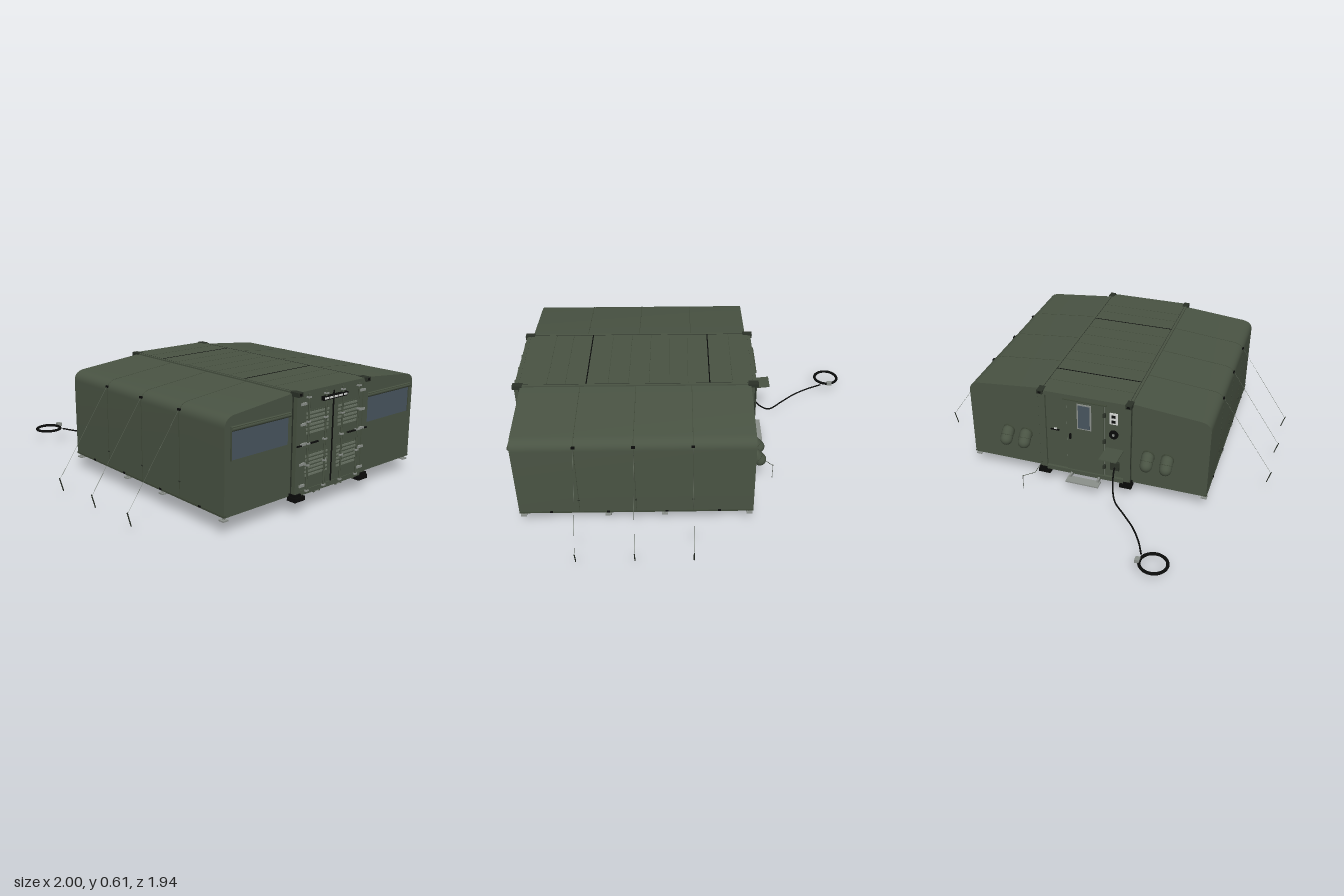
import * as THREE from 'three';
import { toCreasedNormals } from 'three/addons/utils/BufferGeometryUtils.js';

const mat = (name, color) => Object.assign(new THREE.MeshStandardMaterial({ color }), { name });

export function createModel() {
  const model = new THREE.Group();
  model.name = 'expandableShelter';
  const green = mat('olive green', 0x495343);
  const pale = mat('pale olive', 0x6c7567);
  const seam = mat('seam olive', 0x404939);
  const shade = mat('dark olive', 0x2b3128);
  const black = mat('black', 0x0a0b0a);
  const grey = mat('metal grey', 0x8b908b);
  const blue = mat('window blue', 0x48555f);
  const white = mat('off white', 0xd6d8d5);

  const add = (name, geo, m) => {
    const mesh = new THREE.Mesh(geo, m);
    mesh.name = name;
    model.add(mesh);
    return mesh;
  };
  // Box given by its minimum and maximum on each axis
  const box = (name, m, x0, x1, y0, y1, z0, z1) => {
    const b = add(name, new THREE.BoxGeometry(x1 - x0, y1 - y0, z1 - z0), m);
    b.position.set((x0 + x1) / 2, (y0 + y1) / 2, (z0 + z1) / 2);
    return b;
  };
  // Place a y-aligned geometry between two points
  const between = (name, m, a, b, makeGeo) => {
    const p = new THREE.Vector3(...a), q = new THREE.Vector3(...b);
    const d = q.clone().sub(p);
    const c = add(name, makeGeo(d.length()), m);
    c.position.copy(p).lerp(q, 0.5);
    c.quaternion.setFromUnitVectors(new THREE.Vector3(0, 1, 0), d.normalize());
    return c;
  };
  const rod = (name, m, a, b, r, sides = 6) =>
    between(name, m, a, b, len => new THREE.CylinderGeometry(r, r, len, sides));

  // Cross-section of a side wing, optionally grown outwards
  const wingGeo = (s, grow, z0, z1) => {
    const sh = new THREE.Shape();
    sh.moveTo(s * 0.25, 0.1);
    sh.lineTo(s * (0.69 + grow), 0.1);
    sh.lineTo(s * (0.69 + grow), 0.51 + grow);
    sh.quadraticCurveTo(s * (0.69 + grow), 0.558 + grow, s * 0.635, 0.567 + grow);
    sh.lineTo(s * 0.25, 0.604 + grow);
    sh.closePath();
    const g = new THREE.ExtrudeGeometry(sh, { depth: z1 - z0, bevelEnabled: false, curveSegments: 10 });
    g.translate(0, 0, z0);
    return toCreasedNormals(g, 0.6);
  };

  for (const s of [-1, 1]) {
    const span = (a, b) => (s > 0 ? [a, b] : [-b, -a]);
    // Fabric wing, floor and bottom rail
    add('wing', wingGeo(s, 0, -0.32, 0.92), green);
    box('wingFloor', green, ...span(0.25, 0.685), 0.088, 0.1, -0.318, 0.918);
    box('wingBottomRail', seam, ...span(0.678, 0.692), 0.09, 0.1, -0.32, 0.92);
    for (const z of [0, 0.3, 0.6]) {
      // Straps, guy ropes and ground stakes
      add('wingStrap', wingGeo(s, 0.001, z - 0.0015, z + 0.0015), seam);
      box('strapBuckle', shade, ...span(0.685, 0.693), 0.176, 0.182, z - 0.006, z + 0.006);
      box('strapAnchor', black, ...span(0.685, 0.694), 0.53, 0.54, z - 0.009, z + 0.009);
      rod('guyRope', pale, [s * 0.69, 0.535, z], [s * 0.99, 0.1, z], 0.0008, 4);
      rod('groundStake', shade, [s * 0.997, 0.1, z], [s * 0.977, 0.028, z], 0.003);
      // Underfloor cross seams
      box('wingFloorSeam', shade, ...span(0.26, 0.68), 0.0865, 0.089, z - 0.002, z + 0.002);
    }
    for (const z of [-0.14, 0.14, 0.45, 0.75])
      box('railClip', black, ...span(0.683, 0.694), 0.092, 0.101, z - 0.008, z + 0.008);
    for (const z of [-0.15, 0.15, 0.45, 0.75])
      for (const x of [0.38, 0.56])
        box('floorFitting', black, ...span(x - 0.012, x + 0.012), 0.085, 0.089, z - 0.008, z + 0.008);
    // Levelling jacks
    for (const z of [-0.3, 0.15, 0.45, 0.9]) {
      rod('jackLeg', grey, [s * 0.677, 0.105, z], [s * 0.677, 0.07, z], 0.007, 8);
      box('jackFoot', grey, ...span(0.66, 0.692), 0.068, 0.075, z - 0.016, z + 0.016);
    }
    // Front window with rolled blind
    box('wingWindow', blue, ...span(0.29, 0.65), 0.358, 0.492, 0.919, 0.923);
    box('windowSideFlap', seam, ...span(0.65, 0.656), 0.355, 0.5, 0.919, 0.925);
    rod('rolledBlind', green, [s * 0.28, 0.505, 0.925], [s * 0.658, 0.505, 0.925], 0.012, 10);
    box('blindRail', seam, ...span(0.28, 0.658), 0.512, 0.515, 0.919, 0.935);
    // Drooping air duct sleeves on the rear
    for (const x of [0.357, 0.465]) {
      rod('ductCollar', seam, [s * x, 0.288, -0.318], [s * x, 0.288, -0.33], 0.04, 20).scale.x = 0.9;
      between('ductSleeve', green, [s * x, 0.288, -0.335], [s * x, 0.254, -0.365],
        len => new THREE.CapsuleGeometry(0.035, len, 8, 18));
      const fold = between('ductFold', seam, [s * x, 0.274, -0.347], [s * x, 0.268, -0.352],
        () => new THREE.TorusGeometry(0.0345, 0.0015, 6, 24).rotateX(Math.PI / 2));
      fold.scale.y = 1.2;
    }
    // Edge rails and corner posts of the central container
    box('roofEdgeRail', green, ...span(0.248, 0.262), 0.59, 0.61, -0.34, 0.945);
    box('roofEdgeSeam', shade, ...span(0.246, 0.2485), 0.6, 0.6105, -0.34, 0.945);
    box('baseEdgeRail', shade, ...span(0.235, 0.262), 0.08, 0.1, -0.34, 0.945);
    for (const [z0, z1] of [[-0.35, -0.315], [0.92, 0.953]]) {
      box('cornerPost', green, ...span(0.226, 0.264), 0.1, 0.6, z0, z1);
      box('postSeam', shade, ...span(0.262, 0.2655), 0.1, 0.59, z0 + 0.003, z0 + 0.01);
      box('bottomCasting', black, ...span(0.228, 0.27), 0.078, 0.104, z0 - 0.01, z1 + 0.01);
      box('topCasting', shade, ...span(0.234, 0.268), 0.59, 0.612, z0 - 0.01, z1 + 0.01);
      box('castingHole', black, ...span(0.242, 0.26), 0.595, 0.607, z0 - 0.0105, z1 + 0.0105);
    }
    // Support blocks
    for (const z of [-0.335, 0.94]) box('cornerBlock', black, ...span(0.205, 0.275), 0.068, 0.09, z - 0.027, z + 0.027);
    for (const z of [0.05, 0.47]) box('middleBlock', black, ...span(0.17, 0.28), 0.07, 0.09, z - 0.05, z + 0.05);
    // Skid rails under the floor
    for (const x of [0.065, 0.1, 0.2])
      box('skidRail', green, ...span(x - 0.006, x + 0.006), 0.073, 0.098, -0.33, 0.935);
    box('skidEnd', grey, ...span(0.067, 0.098), 0.076, 0.086, 0.928, 0.936);

    // Front cargo door leaf
    box('cargoDoor', green, ...span(0.004, 0.225), 0.115, 0.585, 0.93, 0.948);
    for (const [y0, y1] of [[0.39, 0.51], [0.175, 0.295]]) {
      box('ventPanel', green, ...span(0.035, 0.195), y0, y1, 0.947, 0.95);
      for (let i = 0; i < 6; i++) {
        const y = y0 + 0.011 + i * 0.0195;
        box('ventSlat', pale, ...span(0.035, 0.195), y - 0.005, y + 0.005, 0.948, 0.954);
      }
    }
    for (const x of [0.062, 0.185]) {
      rod('lockRod', green, [s * x, 0.105, 0.957], [s * x, 0.595, 0.957], 0.005, 8);
      for (const y of [0.11, 0.24, 0.35, 0.46, 0.58])
        box('rodBracket', grey, ...span(x - 0.01, x + 0.01), y - 0.004, y + 0.004, 0.947, 0.964);
    }
    box('lockHandle', black, ...span(0.11, 0.17), 0.345, 0.35, 0.95, 0.962);
    box('postLatch', black, ...span(0.228, 0.262), 0.343, 0.35, 0.952, 0.958);
    for (const y of [0.14, 0.25, 0.35, 0.45, 0.55])
      box('doorHinge', grey, ...span(0.2, 0.238), y - 0.006, y + 0.006, 0.947, 0.958);
  }

  // Central container body and roof
  box('containerBody', green, -0.25, 0.25, 0.1, 0.604, -0.335, 0.93);
  box('containerFloor', green, -0.235, 0.235, 0.093, 0.1, -0.33, 0.93);
  [[-0.335, -0.1], [-0.094, 0.565], [0.571, 0.94]].forEach(([z0, z1]) =>
    box('roofPanel', green, -0.246, 0.246, 0.603, 0.609, z0, z1));
  for (const z of [-0.097, 0.568]) box('roofSeam', black, -0.246, 0.246, 0.603, 0.61, z - 0.003, z + 0.003);
  for (const z of [-0.22, 0.02, 0.12, 0.23, 0.34, 0.45, 0.68, 0.78])
    box('roofRib', seam, -0.245, 0.245, 0.606, 0.6098, z - 0.001, z + 0.001);
  for (const [z0, z1] of [[-0.35, -0.33], [0.93, 0.952]]) {
    box('endHeader', green, -0.23, 0.23, 0.585, 0.61, z0, z1);
    box('endSill', green, -0.23, 0.23, 0.09, 0.115, z0, z1);
  }
  for (let i = 0; i < 15; i++) {
    const z = -0.29 + i * 0.085;
    box('floorBeam', green, -0.23, 0.23, 0.088, 0.095, z - 0.004, z + 0.004);
  }
  box('doorGap', black, -0.004, 0.004, 0.115, 0.585, 0.935, 0.951);

  // Plate above the front doors with a row of light marks
  box('frontPlate', black, -0.09, 0.09, 0.546, 0.566, 0.948, 0.965);
  for (let i = 0; i < 5; i++) {
    const x = -0.07 + i * 0.035;
    box('plateMark', white, x - 0.014, x + 0.014, 0.551, 0.561, 0.964, 0.966);
  }

  // Rear entrance door with window, handle and hinges
  box('rearDoorFrame', pale, -0.114, 0.104, 0.118, 0.581, -0.341, -0.334);
  box('rearDoor', green, -0.11, 0.1, 0.122, 0.577, -0.35, -0.336);
  box('rearWindowFrame', grey, -0.042, 0.04, 0.405, 0.565, -0.354, -0.349);
  box('rearWindow', blue, -0.034, 0.032, 0.413, 0.557, -0.357, -0.353);
  box('rearDoorHandle', black, 0.074, 0.084, 0.335, 0.365, -0.362, -0.349);
  for (const y of [0.18, 0.35, 0.52]) box('rearDoorHinge', shade, -0.122, -0.108, y - 0.012, y + 0.012, -0.355, -0.34);
  box('rainGutter', seam, -0.13, 0.12, 0.582, 0.588, -0.36, -0.348);
  box('latchBar', black, 0.15, 0.2, 0.36, 0.366, -0.342, -0.334);
  box('latchMark', white, 0.165, 0.18, 0.366, 0.374, -0.341, -0.334);

  // Rear service panel, port and rain shelf
  box('servicePanel', white, -0.188, -0.142, 0.465, 0.535, -0.34, -0.334);
  for (const y of [0.483, 0.515]) box('serviceSwitch', black, -0.176, -0.154, y - 0.008, y + 0.008, -0.343, -0.339);
  rod('servicePort', black, [-0.165, 0.4, -0.333], [-0.165, 0.4, -0.345], 0.026, 20);
  rod('portCap', grey, [-0.165, 0.4, -0.344], [-0.165, 0.4, -0.348], 0.008, 16);
  const shelf = box('rainShelf', green, -0.222, -0.122, 0.306, 0.312, -0.472, -0.335);
  shelf.rotation.x = 0.1;
  box('cableInlet', shade, -0.2, -0.15, 0.17, 0.22, -0.352, -0.334);

  // Entrance step
  box('stepTread', grey, -0.1, 0.092, 0.076, 0.084, -0.42, -0.365);
  for (const x of [-0.085, 0.077]) box('stepArm', grey, x - 0.006, x + 0.006, 0.078, 0.1, -0.38, -0.33);

  // Power cable, coil and plug
  const path = [[-0.175, 0.19, -0.345], [-0.18, 0.175, -0.385], [-0.19, 0.12, -0.43], [-0.22, 0.074, -0.49],
    [-0.3, 0.07, -0.58], [-0.375, 0.07, -0.665], [-0.435, 0.07, -0.76], [-0.475, 0.072, -0.85]];
  add('powerCable', new THREE.TubeGeometry(
    new THREE.CatmullRomCurve3(path.map(p => new THREE.Vector3(...p))), 60, 0.0045, 8), black);
  for (const [r, y] of [[0.068, 0.075], [0.075, 0.077], [0.07, 0.081]]) {
    const coil = add('cableCoil', new THREE.TorusGeometry(r, 0.005, 8, 48), black);
    coil.rotation.x = Math.PI / 2;
    coil.position.set(-0.55, y, -0.895);
  }
  box('cablePlug', grey, -0.482, -0.458, 0.078, 0.098, -0.92, -0.89);

  // Earthing rod and lead
  rod('earthRod', grey, [0.333, 0, -0.46], [0.333, 0.095, -0.46], 0.002);
  rod('earthLead', seam, [0.25, 0.14, -0.352], [0.28, 0.09, -0.41], 0.0015, 4);
  rod('earthLead', seam, [0.28, 0.09, -0.41], [0.333, 0.09, -0.46], 0.0015, 4);

  return model;
}
